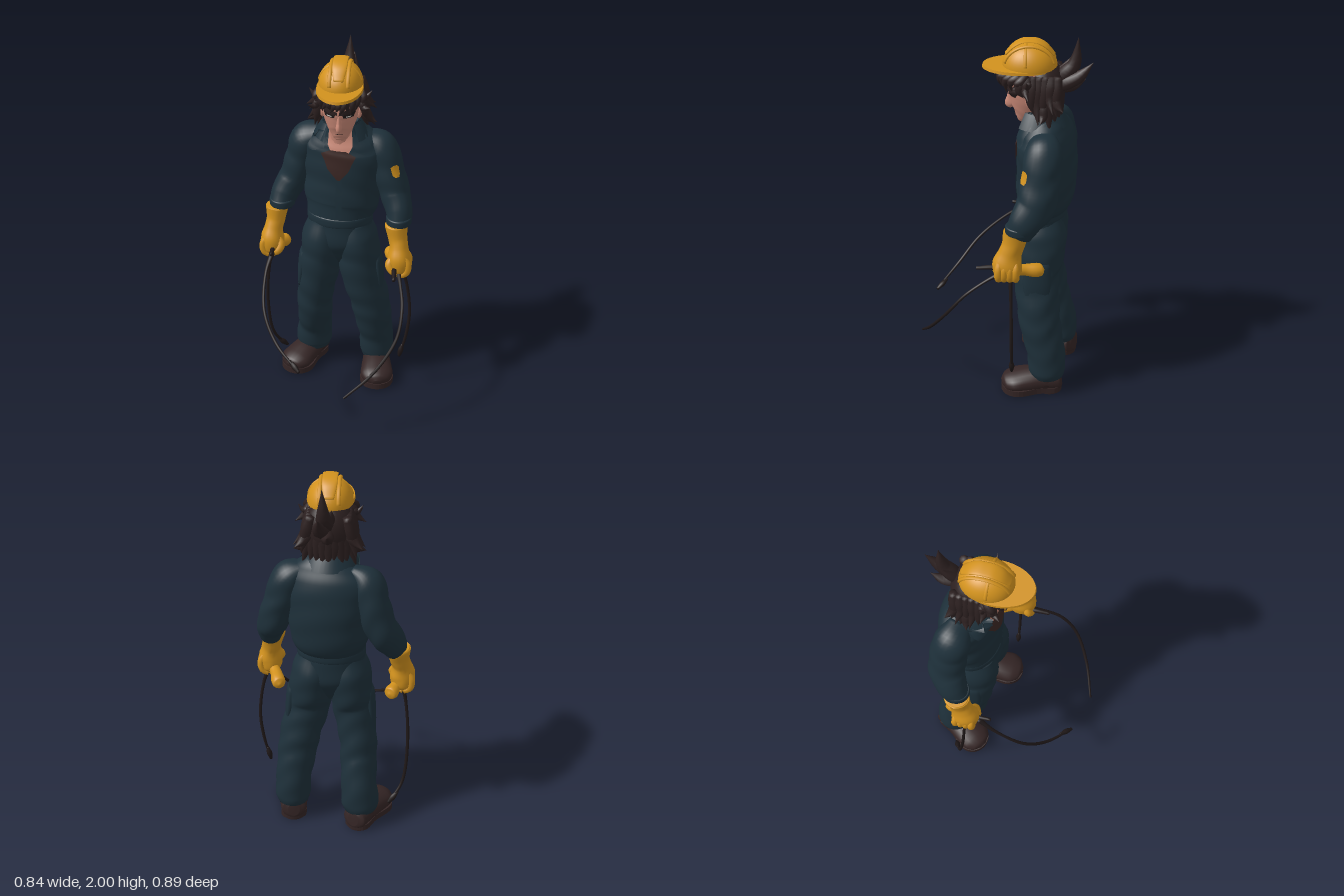
import * as THREE from 'three';

const paint = (name, color, side = THREE.FrontSide) => {
  const m = new THREE.MeshStandardMaterial({ color, side });
  m.name = name;
  return m;
};
const denim = paint('navy denim', 0x1e303a, THREE.DoubleSide);
const yellow = paint('work yellow', 0xd2921e, THREE.DoubleSide);
const skin = paint('skin', 0xcb8a78, THREE.DoubleSide);
const hairMat = paint('dark hair', 0x2c2020, THREE.DoubleSide);
const leather = paint('boot leather', 0x342525);
const shirt = paint('brown shirt', 0x3b2724, THREE.DoubleSide);
const black = paint('black rubber', 0x1f1818, THREE.DoubleSide);
const white = paint('eye white', 0xd8d4cc, THREE.DoubleSide);

const V = (x, y, z) => new THREE.Vector3(x, y, z);

// Smooth closed skin along sections [x, y, z, radiusA, radiusB, twist]
function sweep(secs, { steps = 6, sides = 16, fold = 0, freq = 45 } = {}) {
  const path = new THREE.CatmullRomCurve3(secs.map(s => V(s[0], s[1], s[2])));
  const size = new THREE.CatmullRomCurve3(secs.map(s => V(s[3], s[4] ?? s[3], s[5] ?? 0)), false, 'catmullrom', 0.4);
  const run = path.getPoint(1).sub(path.getPoint(0));
  const ref = Math.abs(run.x) > Math.max(Math.abs(run.y), Math.abs(run.z)) ? V(0, 0, 1) : V(1, 0, 0);
  const rows = (secs.length - 1) * steps, pos = [], idx = [];
  for (let i = 0; i <= rows; i++) {
    const u = i / rows, c = path.getPoint(u), r = size.getPoint(u), t = path.getTangent(u);
    const side = ref.clone().addScaledVector(t, -ref.dot(t)).normalize();
    const fwd = t.clone().cross(side);
    for (let j = 0; j < sides; j++) {
      const a = j / sides * Math.PI * 2;
      const k = 1 + fold * Math.sin(c.y * freq + 2.2 * Math.sin(a + 1) + 1.3 * Math.cos(2 * a)) * Math.sin(Math.PI * u);
      const p = Math.cos(a) * Math.max(r.x, 0.0006) * k, q = Math.sin(a) * Math.max(r.y, 0.0006) * k;
      const ct = Math.cos(r.z), st = Math.sin(r.z);
      const v = c.clone().addScaledVector(side, p * ct - q * st).addScaledVector(fwd, p * st + q * ct);
      pos.push(v.x, v.y, v.z);
    }
  }
  for (let i = 0; i < rows; i++) for (let j = 0; j < sides; j++) {
    const n = (j + 1) % sides, a = i * sides + j, b = i * sides + n;
    idx.push(a, b, b + sides, a, b + sides, a + sides);
  }
  // end caps
  [[0, 0], [1, rows * sides]].forEach(([u, base]) => {
    const c = path.getPoint(u), m = pos.length / 3;
    pos.push(c.x, c.y, c.z);
    for (let j = 0; j < sides; j++) {
      const a = base + j, b = base + (j + 1) % sides;
      u ? idx.push(m, a, b) : idx.push(m, b, a);
    }
  });
  return build(pos, idx);
}
function build(pos, idx) {
  const g = new THREE.BufferGeometry();
  g.setAttribute('position', new THREE.Float32BufferAttribute(pos, 3));
  g.setIndex(idx);
  g.computeVertexNormals();
  return g;
}
function add(parent, name, geo, mat) {
  const m = new THREE.Mesh(geo, mat);
  m.name = name;
  parent.add(m);
  return m;
}
// Thin panel laid on a body; rows are [y, left, right] from top to bottom, angle turns the facing
function panel(parent, name, body, rows, mat, off = 0.005, angle = 0) {
  const dir = V(Math.sin(angle), 0, Math.cos(angle)), right = V(Math.cos(angle), 0, -Math.sin(angle));
  const n = (rows.length - 1) * 5, cols = 8, pos = [], idx = [], ray = new THREE.Raycaster();
  let last = V(0, 0, -0.1);
  for (let i = 0; i <= n; i++) {
    const k = Math.min(Math.floor(i / 5), rows.length - 2), f = i / 5 - k;
    const [y, l, r] = rows[k].map((v, e) => v + (rows[k + 1][e] - v) * f);
    for (let j = 0; j <= cols; j++) {
      const o = right.clone().multiplyScalar(l + (r - l) * j / cols).addScaledVector(dir, 2);
      o.y = y;
      ray.set(o, dir.clone().negate());
      const hit = ray.intersectObject(body)[0];
      if (hit) last = hit.point;
      const depth = last.dot(dir) + off;
      pos.push(o.x + dir.x * (depth - 2), y, o.z + dir.z * (depth - 2));
      if (i < n && j < cols) {
        const a = i * (cols + 1) + j, b = a + cols + 1;
        idx.push(a, b, b + 1, a, b + 1, a + 1);
      }
    }
  }
  return add(parent, name, build(pos, idx), mat);
}
const mirrorRows = rows => rows.map(([y, l, r]) => [y, 0.04 - r, 0.04 - l]);
const ring = (x, y, z, a, b, h, tw = 0) => sweep([[x, y - h, z, a * 0.93, b * 0.93, tw], [x, y - h * 0.7, z, a, b, tw], [x, y + h * 0.7, z, a, b, tw], [x, y + h, z, a * 0.93, b * 0.93, tw]], { sides: 28, steps: 3 });

function buildCoverall(g) {
  const torso = add(g, 'coverallTorso', sweep([
    [.012, .76, -.2, .06, .06], [.012, .82, -.2, .12, .1], [.012, .9, -.2, .178, .135, -.03], [.012, 1.0, -.2, .174, .132, -.06],
    [.012, 1.06, -.2, .178, .13, -.1], [.018, 1.13, -.215, .203, .15, -.14], [.025, 1.25, -.225, .208, .153, -.19], [.028, 1.38, -.222, .225, .149, -.22],
    [.028, 1.46, -.215, .222, .138, -.22], [.027, 1.51, -.205, .18, .12, -.2], [.024, 1.55, -.195, .13, .1, -.12], [.02, 1.585, -.185, .088, .085], [.02, 1.595, -.185, .07, .07]
  ], { sides: 36, fold: .012 }), denim);
  add(g, 'waistband', ring(.012, 1.04, -.2, .178, .135, .03, -.08), denim);
  panel(g, 'frontPlacket', torso, [[1.33, 0, .035], [1.07, 0, .03]], denim, .006);
  panel(g, 'neckOpening', torso, [[1.575, -.04, .08], [1.5, -.045, .085], [1.45, -.02, .06]], skin, .004);
  panel(g, 'undershirt', torso, [[1.475, -.03, .055], [1.45, -.08, .105], [1.41, -.06, .085], [1.37, -.045, .07], [1.31, .008, .022]], shirt, .008);
  // open collar band and two pointed flaps
  const band = new THREE.LatheGeometry([[.13, 1.52], [.108, 1.57], [.088, 1.615], [.103, 1.608], [.145, 1.535]].map(p => new THREE.Vector2(...p)), 28, .75, Math.PI * 2 - 1.5);
  add(g, 'collarBand', band.translate(.02, 0, -.185), denim);
  const flap = [[1.585, -.085, -.055], [1.53, -.125, -.05], [1.48, -.15, -.065], [1.455, -.148, -.125]];
  panel(g, 'collarFlapRight', torso, flap, denim, .02);
  panel(g, 'collarFlapLeft', torso, mirrorRows(flap), denim, .02);

  const limb = (name, secs, fold) => add(g, name, sweep(secs, { sides: 24, fold, steps: 8 }), denim);
  limb('rightTrouserLeg', [[-.07, 1.02, -.2, .08, .11], [-.08, .92, -.2, .112, .14], [-.09, .8, -.2, .113, .136], [-.103, .7, -.195, .112, .12], [-.13, .5, -.225, .1, .117],
    [-.135, .4, -.242, .098, .116], [-.14, .25, -.293, .095, .104], [-.148, .14, -.306, .102, .1], [-.148, .1, -.306, .09, .09]], .028);
  limb('leftTrouserLeg', [[.09, 1.02, -.195, .08, .11], [.102, .92, -.195, .112, .14], [.12, .8, -.19, .115, .134], [.13, .7, -.18, .115, .12], [.18, .5, -.195, .108, .113],
    [.195, .4, -.207, .105, .11], [.215, .25, -.238, .095, .103], [.22, .14, -.246, .096, .1], [.22, .1, -.246, .085, .09]], .028);
  limb('rightSleeve', [[-.09, 1.515, -.235, .035, .06], [-.168, 1.455, -.26, .085, .094], [-.2, 1.34, -.278, .088, .097], [-.25, 1.2, -.28, .082, .096],
    [-.295, 1.12, -.248, .075, .084], [-.315, 1.06, -.212, .062, .068]], .03);
  const leftSleeve = limb('leftSleeve', [[.14, 1.515, -.205, .035, .06], [.218, 1.455, -.208, .086, .094], [.26, 1.34, -.198, .086, .1], [.305, 1.2, -.175, .081, .1],
    [.332, 1.12, -.125, .072, .085], [.335, 1.05, -.09, .062, .07]], .03);
  add(g, 'rightSleeveCuff', ring(-.306, 1.085, -.225, .069, .075, .022), denim);
  add(g, 'leftSleeveCuff', ring(.334, 1.08, -.1, .068, .077, .022), denim);
  panel(g, 'sleevePatch', leftSleeve, [[1.39, .272, .292], [1.38, .258, .304], [1.34, .26, .304], [1.325, .27, .295]], yellow, .007, .9);
  // cargo pockets on the outer thighs
  [[-.196, -.2, -1], [.23, -.185, 1]].forEach(([x, z, s]) => {
    const side = s < 0 ? 'right' : 'left';
    add(g, side + 'CargoPocket', sweep([[x - s * .016, .82, z, .012, .055], [x - s * .01, .78, z, .027, .07], [x, .68, z, .027, .074], [x + s * .012, .59, z, .014, .06]]), denim);
  });
}

function buildHead(g) {
  add(g, 'neck', sweep([[.02, 1.45, -.17, .07, .075], [.02, 1.53, -.155, .065, .065], [.02, 1.62, -.14, .065, .07]]), skin);
  const face = add(g, 'face', sweep([[.02, 1.54, -.083, .02, .018], [.02, 1.555, -.093, .037, .04], [.02, 1.6, -.115, .066, .078], [.02, 1.67, -.13, .09, .1],
    [.02, 1.73, -.13, .096, .106], [.02, 1.85, -.135, .09, .1]], { sides: 28 }), skin);
  add(g, 'nose', sweep([[.02, 1.71, -.05, .008, .022], [.02, 1.66, -.042, .012, .028], [.02, 1.63, -.038, .016, .032], [.02, 1.612, -.045, .01, .018]], { sides: 12 }), skin);
  panel(g, 'mouth', face, [[1.588, .002, .038], [1.584, 0, .04]], shirt, .003);
  [-1, 1].forEach(s => {
    const tag = s < 0 ? 'right' : 'left', m = r => s < 0 ? r : mirrorRows(r);
    panel(g, tag + 'EyeShadow', face, m([[1.72, -.065, .005], [1.69, -.052, -.004]]), black, .003);
    panel(g, tag + 'Eye', face, m([[1.702, -.043, -.016], [1.695, -.04, -.018]]), white, .005);
    panel(g, tag + 'Brow', face, m([[1.745, -.075, -.03], [1.725, -.065, .012], [1.71, -.025, .014]]), hairMat, .008);
    add(g, tag + 'Ear', new THREE.SphereGeometry(1, 12, 10).scale(.014, .035, .022).translate(.02 + s * .094, 1.68, -.135), skin);
  });
}

function buildHair(g) {
  let seed = 7;
  const rnd = () => (seed = (seed * 16807) % 2147483647) / 2147483647 - .5;
  const lock = (name, a, b, c, r) => add(g, name, sweep([[...a, r * .7], [...a.map((v, i) => (v + b[i]) / 2), r], [...b, r * .8], [...c, .001]], { sides: 8, steps: 4 }), hairMat);
  add(g, 'hairCap', new THREE.SphereGeometry(1, 28, 18).scale(.126, .145, .108).translate(.02, 1.73, -.2), hairMat);
  // fringe, fullest at the centre under the brim
  for (let i = 0; i < 11; i++) {
    const k = i / 5 - 1, x = .02 + k * .095, z = -.04 - k * k * .06, j = rnd() * .03, f = 1 - .55 * k * k;
    lock('fringeLock', [x, 1.825, z - .02], [x + k * .012 + j, 1.785, z + .06 * f], [x + k * .025 - j * 2, 1.735 + rnd() * .05, z + .055 * f], .024);
  }
  // side locks, short above the cheeks and flaring out behind them
  [-1, 1].forEach(s => {
    for (let i = 0; i < 7; i++) {
      const z = -.09 - i * .03, drop = i < 2 ? .1 : .2 + rnd() * .07, out = .135 + (i % 2) * .04;
      lock('sideLock', [.02 + s * .088, 1.815, z], [.02 + s * .12, 1.82 - drop * .65, z + .01], [.02 + s * out, 1.82 - drop, z + rnd() * .04], .03);
    }
    lock('templeCurl', [.02 + s * .095, 1.79, -.09], [.02 + s * .125, 1.74, -.06], [.02 + s * .155, 1.755, -.03], .022);
    lock('upperFlick', [.02 + s * .1, 1.79, -.13], [.02 + s * .13, 1.775, -.12], [.02 + s * .16, 1.81, -.12], .02);
    lock('flickedLock', [.02 + s * .09, 1.7, -.2], [.02 + s * .14, 1.62, -.2], [.02 + s * .18, 1.6, -.19], .03);
    lock('backFlick', [.02 + s * .08, 1.74, -.24], [.02 + s * .13, 1.68, -.27], [.02 + s * .165, 1.66, -.3], .03);
  });
  // nape
  for (let i = 0; i < 9; i++) {
    const k = i / 4 - 1;
    lock('napeLock', [.02 + k * .08, 1.78, -.26 + k * k * .04], [.02 + k * .105, 1.65, -.275 + k * k * .05], [.02 + k * .13 + rnd() * .04, 1.55 + rnd() * .07, -.295 + k * k * .06], .038);
  }
  // swept-up tuft
  lock('tuftTall', [.03, 1.74, -.26], [.04, 1.86, -.35], [.045, 2, -.367], .042);
  lock('tuftBack', [.045, 1.73, -.26], [.06, 1.8, -.375], [.06, 1.875, -.443], .04);
  lock('tuftLow', [.035, 1.73, -.26], [.02, 1.735, -.35], [.02, 1.77, -.41], .035);
  lock('tuftInner', [.03, 1.76, -.25], [.01, 1.83, -.31], [.0, 1.88, -.335], .03);
}

function buildHelmet(g) {
  add(g, 'helmetDome', new THREE.SphereGeometry(1, 40, 14, 0, Math.PI * 2, 0, Math.PI / 2).scale(.114, .12, .137).translate(.02, 1.838, -.13), yellow);
  add(g, 'helmetBrim', new THREE.CylinderGeometry(1, 1.02, .014, 44).scale(.117, 1, .186).translate(.02, 1.837, -.081), yellow);
  const arc = (fn, r) => sweep(Array.from({ length: 11 }, (_, i) => [...fn(Math.PI * (.08 + .084 * i)), r, r * .7]), { sides: 8, steps: 3 });
  [-.046, .046].forEach(s => add(g, 'helmetSideRib', arc(a => [.02 + s, 1.838 + .116 * Math.sin(a), -.13 + .127 * Math.cos(a)], .01), yellow));
  add(g, 'helmetCrossRib', arc(a => [.02 + .112 * Math.cos(a), 1.838 + .115 * Math.sin(a), -.11], .009), yellow);
  // raised crown strip standing clear of the dome
  add(g, 'helmetCrownStrip', sweep([[.02, 1.9, -.01, .025, .006], [.02, 1.945, -.052, .036, .008], [.02, 1.967, -.09, .038, .005], [.02, 1.972, -.13, .038, .004],
    [.02, 1.967, -.17, .038, .005], [.02, 1.945, -.208, .036, .008], [.02, 1.9, -.25, .025, .006]], { sides: 14 }), yellow);
}

function buildGlove(g, name, s, x, y, z, reach) {
  const hand = new THREE.Group();
  hand.name = name;
  hand.position.set(x, y, z);
  g.add(hand);
  add(hand, 'gauntlet', sweep([[-s * .022, .205, -.045, .055, .06], [-s * .022, .195, -.045, .062, .068], [-s * .015, .13, -.03, .052, .06], [-s * .005, .08, -.012, .05, .06],
    [0, .02, 0, .064, .076], [0, -.035, 0, .059, .072], [0, -.068, 0, .035, .045]], { fold: .03 }), yellow);
  for (let i = 0; i < 4; i++) {
    const fz = -.043 + i * .029;
    add(hand, 'finger', sweep([[s * .028, .045, fz, .012], [s * .047, .005, fz, .02], [s * .04, -.045, fz, .021], [s * .01, -.064, fz, .017], [-s * .025, -.058, fz, .008]], { sides: 9, steps: 4 }), yellow);
  }
  add(hand, 'thumb', sweep([[-s * .035, .04, .03, .015], [-s * .05, 0, .045, .023], [-s * .03, -.035, .06, .02], [-s * .01, -.05, .066, .006]], { sides: 10 }), yellow);
  add(hand, 'backFinger', sweep([[.1, -.03, -.03, .028], [.35, -.038, -.085, .03], [.5, -.047, -.14, .037], [.6, -.05, -.172, .032], [.65, -.05, -.186, .006]]
    .map(([a, b, c, r]) => [-s * .1 * a, b, c * reach, r]), { sides: 12 }), yellow);
}

function buildBoot(g, name, x, z, turn) {
  const boot = new THREE.Group();
  boot.name = name;
  boot.position.set(x, 0, z);
  boot.rotation.y = turn;
  g.add(boot);
  add(boot, 'bootUpper', sweep([[0, .07, -.158, .03, .04], [0, .068, -.142, .066, .062], [0, .072, -.05, .076, .068], [0, .068, .03, .086, .064],
    [0, .062, .1, .091, .054], [0, .054, .145, .068, .043], [0, .048, .168, .02, .02]], { sides: 20 }), leather);
  add(boot, 'bootShaft', sweep([[0, .06, -.065, .075, .085], [0, .13, -.065, .073, .08], [0, .2, -.065, .07, .075]]), leather);
  const outline = new THREE.CatmullRomCurve3([[0, -.16], [.062, -.135], [.07, -.03], [.093, .09], [.062, .15], [0, .172], [-.062, .15], [-.093, .09], [-.07, -.03], [-.062, -.135]].map(p => V(p[0], p[1], 0)), true);
  const shape = new THREE.Shape(outline.getPoints(48).slice(0, -1).map(p => new THREE.Vector2(p.x, p.y)));
  add(boot, 'bootSole', new THREE.ExtrudeGeometry(shape, { depth: .034, bevelEnabled: false }).rotateX(Math.PI / 2).translate(0, .042, 0), leather);
  add(boot, 'bootHeel', new THREE.CylinderGeometry(.068, .066, .03, 24).scale(1, 1, 1.05).translate(0, .015, -.09), leather);
  add(boot, 'soleTread', new THREE.ShapeGeometry(shape).rotateX(Math.PI / 2).scale(.96, 1, .96).translate(0, .006, 0), black);
}

function buildWhips(g) {
  const cord = (name, pts) => add(g, name, sweep(pts.map((p, i) => [...p, i === 0 ? .016 : i === pts.length - 1 ? .006 : .0085]), { sides: 8, steps: 8 }), black);
  const tip = (name, a, b) => add(g, name, sweep([[...a, .006], [...a.map((v, i) => v * .5 + b[i] * .5), .015], [...b, .008]], { sides: 8 }), black);
  cord('leftForwardCord', [[.34, .82, -.01], [.36, .78, .07], [.38, .7, .18], [.36, .57, .28], [.25, .41, .375], [.1, .28, .44]]);
  cord('leftHangingCord', [[.345, .83, -.05], [.385, .72, -.055], [.41, .52, -.06], [.395, .36, -.06], [.36, .21, -.06]]);
  cord('rightForwardCord', [[-.35, .82, -.1], [-.372, .75, 0], [-.36, .61, .155], [-.28, .48, .27], [-.15, .39, .38]]);
  cord('rightHangingCord', [[-.35, .84, -.16], [-.378, .7, -.17], [-.395, .45, -.185], [-.37, .2, -.22], [-.3, .09, -.26]]);
  tip('leftCordTip', [.376, .29, -.06], [.36, .21, -.06]);
  tip('rightCordTip', [-.35, .15, -.235], [-.3, .09, -.26]);
  tip('rightForwardTip', [-.2, .42, .33], [-.145, .385, .383]);
  [[.32, .83, -.06, .328, .835, .125], [-.35, .82, -.22, -.345, .85, -.03]].forEach(([a, b, c, d, e, f]) =>
    add(g, 'whipHandle', sweep([[a, b, c, .016], [(a + d) / 2, (b + e) / 2 + .008, (c + f) / 2, .014], [d, e, f, .009]], { sides: 10 }), black));
}

export function createModel() {
  const g = new THREE.Group();
  g.name = 'worker';
  buildCoverall(g);
  buildHead(g);
  buildHair(g);
  buildHelmet(g);
  buildGlove(g, 'leftGlove', 1, .346, .86, -.036, 1);
  buildGlove(g, 'rightGlove', -1, -.355, .86, -.168, .6);
  buildBoot(g, 'leftBoot', .226, -.17, .1);
  buildBoot(g, 'rightBoot', -.19, -.255, -.5);
  buildWhips(g);
  return g;
}
